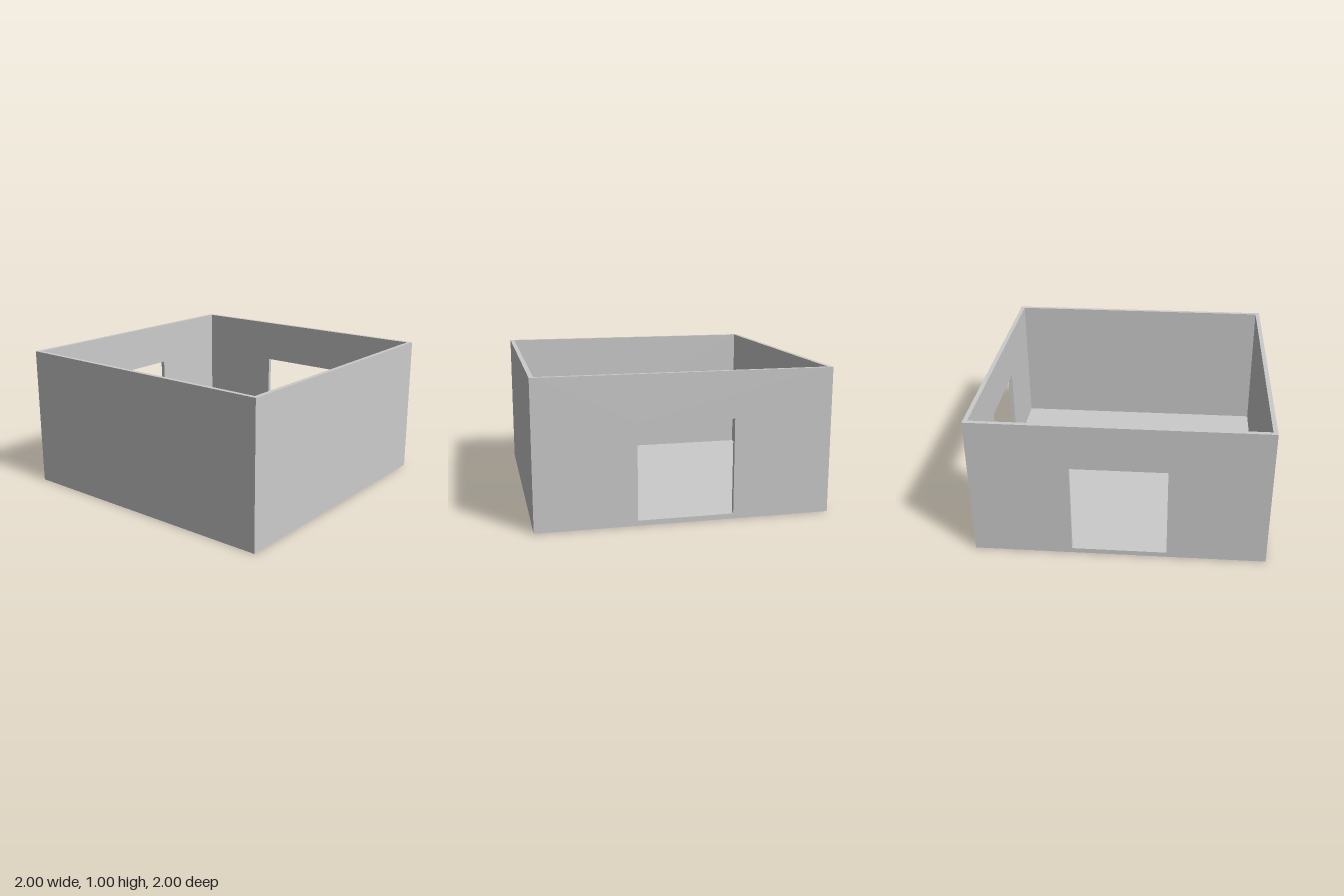
import * as THREE from 'three';

const T = 0.03; // wall and floor thickness
const material = new THREE.MeshStandardMaterial({ color: 0xcccccc });

// Upright wall panel, optionally with a centred square doorway
function wall(name, length, doorway) {
  const h = length / 2;
  const shape = new THREE.Shape([[-h, 0], [h, 0], [h, 1], [-h, 1]].map(p => new THREE.Vector2(...p)));
  if (doorway) {
    const w = 0.325, bottom = 0.035, top = 0.683;
    shape.holes.push(new THREE.Path(
      [[-w, bottom], [-w, top], [w, top], [w, bottom]].map(p => new THREE.Vector2(...p))));
  }
  const geometry = new THREE.ExtrudeGeometry(shape, { depth: T, bevelEnabled: false });
  const mesh = new THREE.Mesh(geometry, material);
  mesh.name = name;
  return mesh;
}

export function createModel() {
  const room = new THREE.Group();
  room.name = 'room';
  const inner = 2 - 2 * T;

  // Front and back walls span the full width
  const front = wall('frontWall', 2, false);
  front.position.z = 1 - T;
  const back = wall('backWall', 2, true);
  back.position.z = -1;

  // Side walls fit between them; the doorway is on the +x side
  const left = wall('leftWall', inner, true);
  left.rotation.y = Math.PI / 2;
  left.position.x = 1 - T;
  const right = wall('rightWall', inner, false);
  right.rotation.y = Math.PI / 2;
  right.position.x = -1;

  // Floor slab inside the walls
  const floor = new THREE.Mesh(new THREE.BoxGeometry(inner, T, inner), material);
  floor.name = 'floor';
  floor.position.y = T / 2;

  room.add(front, back, left, right, floor);
  return room;
}
